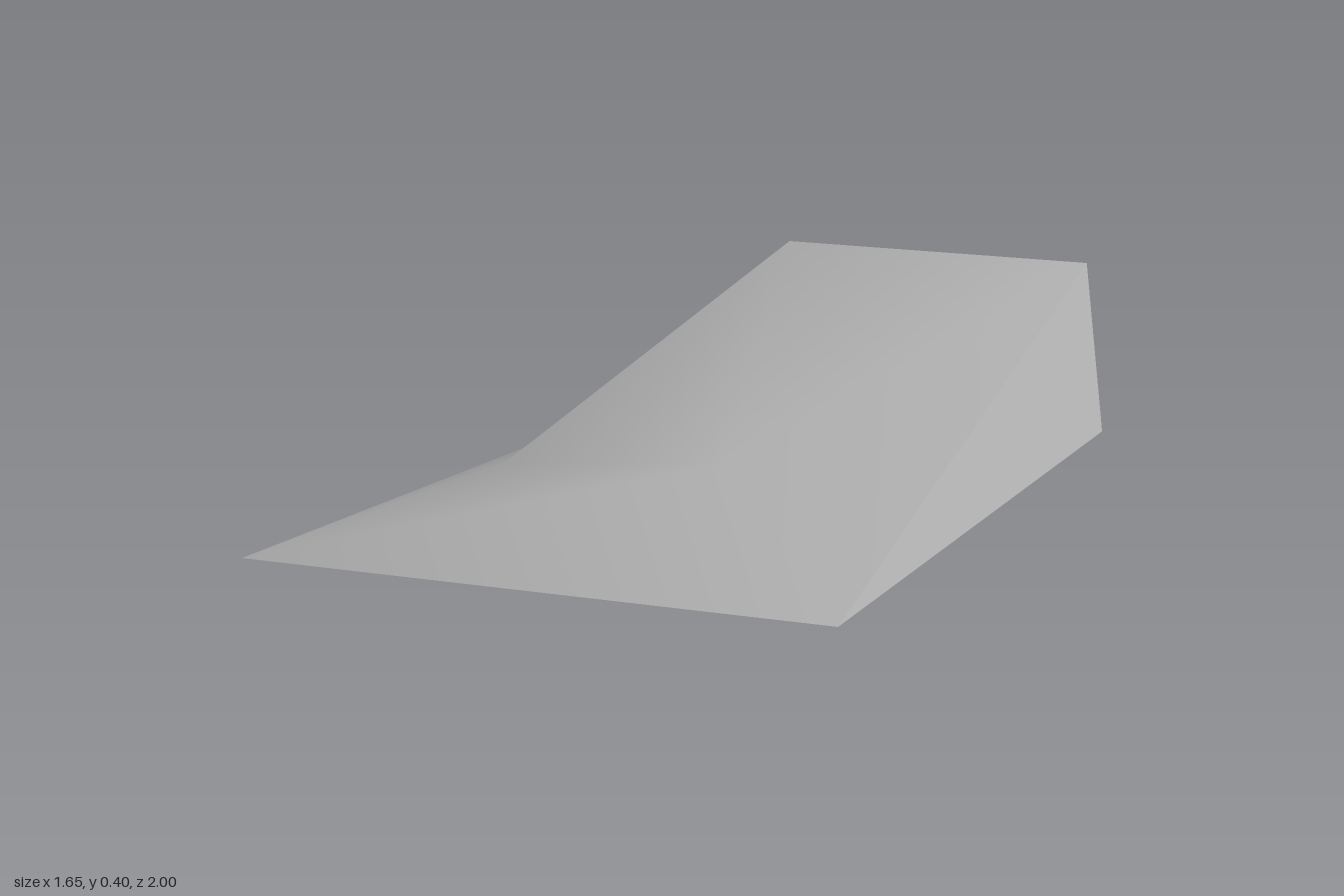
import * as THREE from 'three';

// Corner points of the wedge
const P = {
  frontRight: [-0.78, 0, 1], frontLeft: [0.82, 0.12, 0.87],
  backLeft: [0.21, 0.12, -0.66], crestLeft: [-0.04, 0.40, -0.89],
  tail: [-0.25, 0.31, -1], backRight: [-0.52, 0.29, -0.90],
  crestRight: [-0.69, 0.375, -0.66], sideRight: [-0.83, 0.05, -0.22],
  ridgeRight: [-0.34, 0.22, 0.65], ridgeLeft: [0.17, 0.287, 0.51],
};

// Faces sharing corners inside one part are shaded smoothly
function part(name, faces, material) {
  const names = [...new Set(faces.flat())];
  const geo = new THREE.BufferGeometry();
  geo.setAttribute('position', new THREE.Float32BufferAttribute(names.flatMap(n => P[n]), 3));
  geo.setIndex(faces.flat().map(n => names.indexOf(n)));
  geo.computeVertexNormals();
  const mesh = new THREE.Mesh(geo, material);
  mesh.name = name;
  return mesh;
}

export function createModel() {
  const group = new THREE.Group();
  group.name = 'rockShard';
  const stone = new THREE.MeshStandardMaterial({ color: 0xb0b0b0 });
  stone.name = 'stone grey';

  group.add(
    // Sloping top, running over the crest to the back
    part('topSurface', [
      ['frontRight', 'frontLeft', 'ridgeLeft'],
      ['frontRight', 'ridgeLeft', 'ridgeRight'],
      ['frontLeft', 'crestLeft', 'ridgeLeft'],
      ['crestLeft', 'crestRight', 'ridgeLeft'],
      ['crestRight', 'ridgeRight', 'ridgeLeft'],
      ['crestRight', 'sideRight', 'ridgeRight'],
      ['sideRight', 'frontRight', 'ridgeRight'],
      ['crestLeft', 'tail', 'backRight'],
      ['crestLeft', 'backRight', 'crestRight'],
    ], stone),
    // Flat broken sides
    part('leftSide', [['crestLeft', 'frontLeft', 'backLeft']], stone),
    part('backLeftFacet', [['tail', 'crestLeft', 'backLeft']], stone),
    part('rightFacet', [['backRight', 'sideRight', 'crestRight']], stone),
    // Underside, curling up towards the tail
    part('underside', [
      ['frontRight', 'backLeft', 'frontLeft'],
      ['frontRight', 'sideRight', 'backLeft'],
      ['backLeft', 'sideRight', 'backRight'],
      ['backLeft', 'backRight', 'tail'],
    ], stone),
  );
  return group;
}
